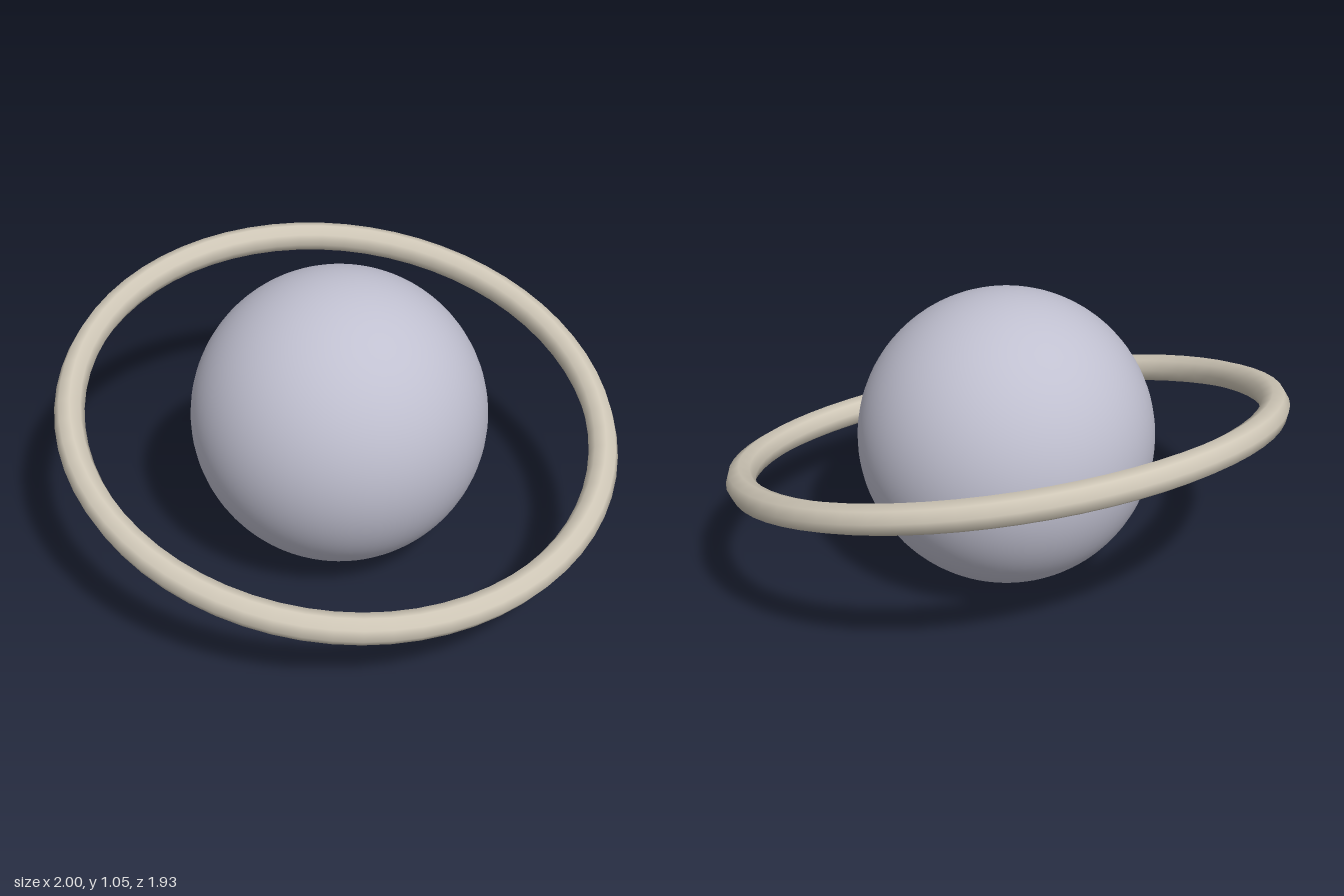
import * as THREE from 'three';

export function createModel() {
  const model = new THREE.Group();
  model.name = 'ringedPlanet';

  const planetGrey = new THREE.MeshStandardMaterial({ color: 0xc0c0d0 });
  planetGrey.name = 'pale blue grey';
  const ringSand = new THREE.MeshStandardMaterial({ color: 0xd0c8b8 });
  ringSand.name = 'pale sand';

  const radius = 0.527;

  // Smooth globe resting on the ground
  const planet = new THREE.Mesh(new THREE.SphereGeometry(radius, 64, 48), planetGrey);
  planet.name = 'planet';
  planet.position.y = radius;

  // Thin eight-sided ring, low at the front and slightly low on the +x side
  const ring = new THREE.Mesh(
    new THREE.TorusGeometry(radius * 1.8, radius * 0.1, 8, 64), ringSand);
  ring.name = 'ring';
  ring.position.y = radius;
  ring.rotation.set(THREE.MathUtils.degToRad(105), -0.06, 0);

  model.add(planet, ring);
  return model;
}
